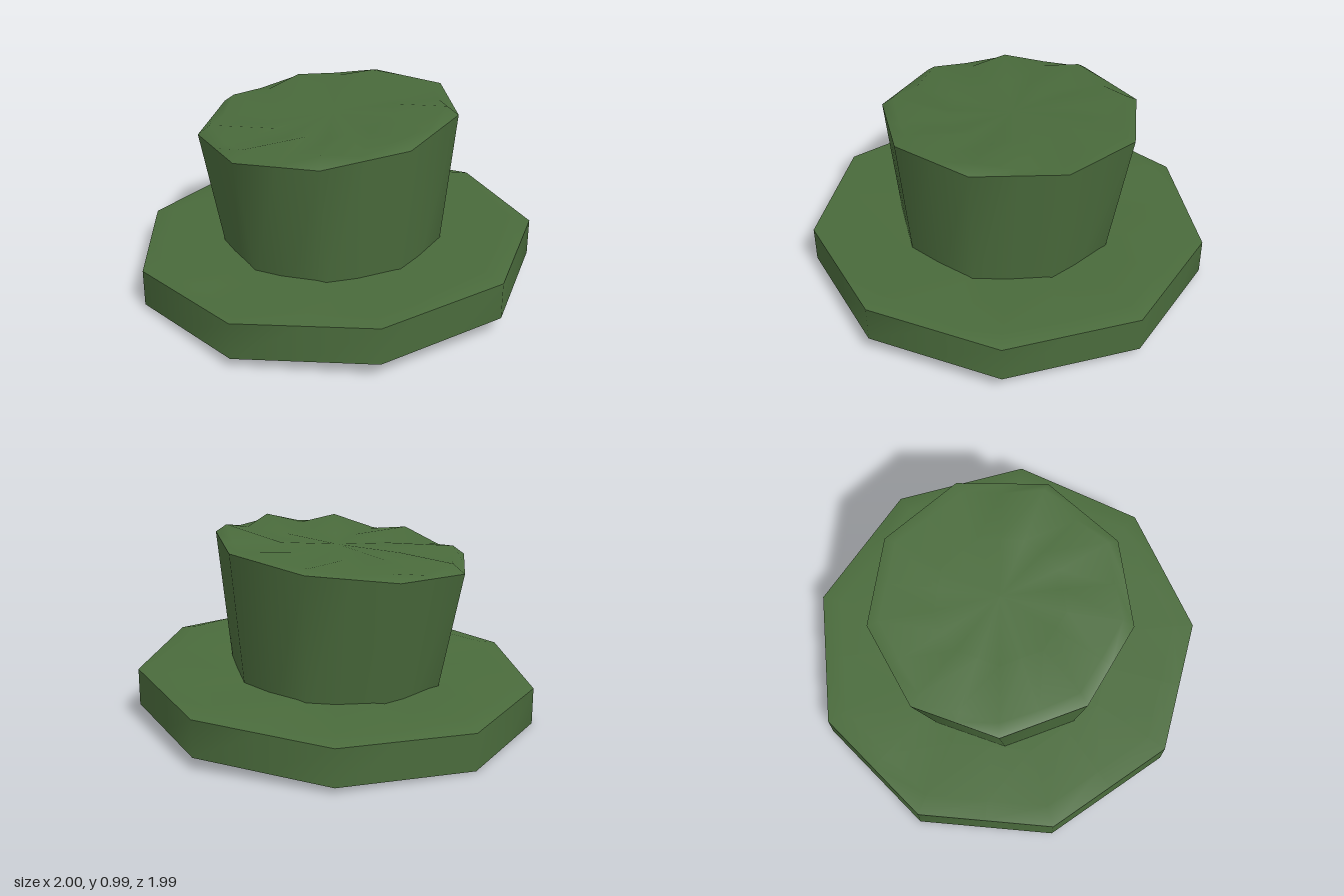
import * as THREE from 'three';

const green = new THREE.MeshStandardMaterial({ color: 0x4a6b3c });
green.name = 'hat green';

// Nine-sided outlines as [x, z], running back, left, front, right
const BRIM = [[0.04, -1], [0.68, -0.73], [1, -0.1], [0.84, 0.58], [0.28, 0.99],
  [-0.41, 0.95], [-0.92, 0.48], [-1, -0.22], [-0.62, -0.8]];
const CROWN = [[-0.27, -0.62], [0.18, -0.63], [0.53, -0.36], [0.62, 0.08], [0.4, 0.48],
  [-0.02, 0.64], [-0.43, 0.5], [-0.66, 0.12], [-0.6, -0.32]];

// How far each corner of the crumpled upper surfaces is pushed up
const BRIM_LIFT = [0.035, 0.02, 0.035, 0.03, 0.03, 0.005, 0.005, 0.02, 0.02];
const CROWN_LIFT = [0.04, 0.03, 0.02, 0.005, 0.045, 0.045, 0.05, 0.045, 0.04];

// Tilted planes of the hat
const brimBottom = (x, z) => 0.05 + 0.02 * x + 0.045 * z;
const brimTop = (x, z) => brimBottom(x, z) + 0.19;
const crownTop = (x, z) => 0.883 + 0.085 * x + 0.065 * z;

// A ring following an outline, with a point at each corner and each edge middle
function ring(outline, scale, height, lifts = null, midLift = 0, shiftZ = 0) {
  const points = [];
  outline.forEach(([x, z], i) => {
    const [nx, nz] = outline[(i + 1) % outline.length];
    const add = (px, pz, lift) => {
      const sx = px * scale, sz = pz * scale + shiftZ;
      points.push([sx, height(sx, sz) + lift, sz]);
    };
    add(x, z, lifts ? lifts[i] : 0);
    add((x + nx) / 2, (z + nz) / 2, midLift);
  });
  return points;
}

const centre = (height, lift = 0) => [[0, height(0, 0) + lift, 0]];

// Smooth skin over successive rings; a ring of one point closes the surface
function skin(name, rings) {
  const positions = [], index = [], starts = [];
  for (const r of rings) {
    starts.push(positions.length / 3);
    r.forEach((p) => positions.push(...p));
  }
  const n = Math.max(...rings.map((r) => r.length));
  for (let k = 0; k < rings.length - 1; k++) {
    const at = (row, i) => starts[row] + (i % rings[row].length);
    for (let i = 0; i < n; i++) {
      const a = at(k, i), b = at(k, i + 1), c = at(k + 1, i), d = at(k + 1, i + 1);
      if (a !== b) index.push(b, a, c);
      if (c !== d) index.push(b, c, d);
    }
  }
  const geometry = new THREE.BufferGeometry();
  geometry.setAttribute('position', new THREE.Float32BufferAttribute(positions, 3));
  geometry.setIndex(index);
  geometry.computeVertexNormals();
  const mesh = new THREE.Mesh(geometry, green);
  mesh.name = name;
  return mesh;
}

export function createModel() {
  const hat = new THREE.Group();
  hat.name = 'hat';

  // Wide brim: flat underside, upright rim, crumpled upper surface
  const brim = new THREE.Group();
  brim.name = 'brim';
  const lower = ring(BRIM, 1, brimBottom), upper = ring(BRIM, 1, brimTop);
  brim.add(
    skin('brimUnderside', [centre(brimBottom), lower]),
    skin('brimRim', [lower, upper]),
    skin('brimSurface', [upper, ring(BRIM, 0.9, brimTop, BRIM_LIFT, 0.008),
      ring(BRIM, 0.6, brimTop, null, 0.012), centre(brimTop, 0.01)]),
  );

  // Crown: flares upwards, its foot sunk into the brim, with a dented lid
  const crown = new THREE.Group();
  crown.name = 'crown';
  const foot = ring(CROWN, 0.85, (x, z) => brimTop(x, z) - 0.04, null, 0, 0.035);
  const edge = ring(CROWN, 1, crownTop);
  crown.add(
    skin('crownWall', [foot, edge]),
    skin('crownLid', [edge, ring(CROWN, 0.91, crownTop, CROWN_LIFT, 0.003),
      ring(CROWN, 0.5, crownTop, null, 0.015), centre(crownTop, 0.02)]),
  );

  hat.add(brim, crown);
  return hat;
}
